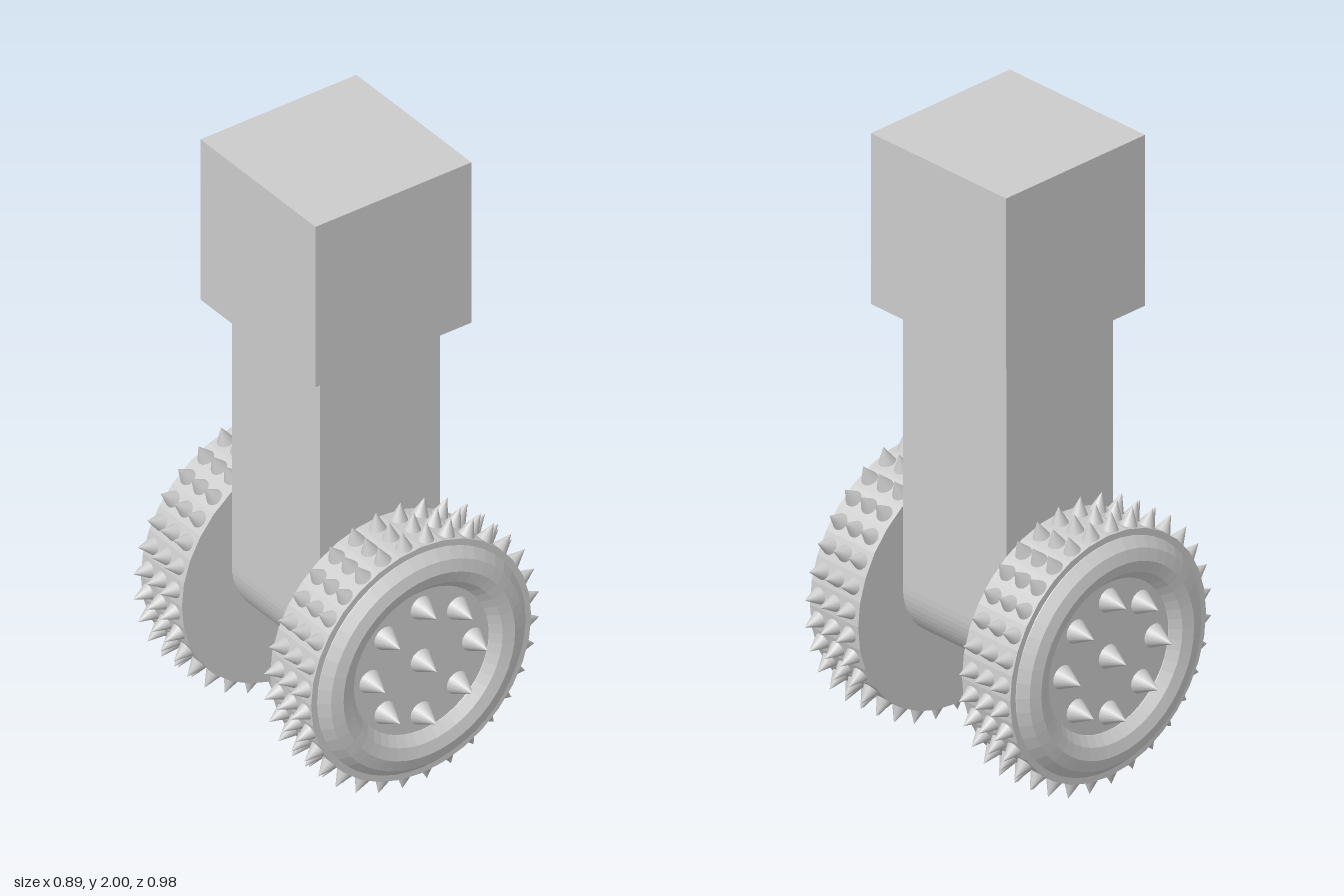
import * as THREE from 'three';

const flat = new THREE.MeshStandardMaterial({ color: 0xcccccc, flatShading: true });
const smooth = new THREE.MeshStandardMaterial({ color: 0xcccccc });

const AXLE_Y = 0.447;
const DRUM_R = 0.395;
const CAP_Z = 0.415; // outer face of the drum
const INNER_Z = 0.215; // inner face of the drum

function part(name, geometry, material = flat) {
  const mesh = new THREE.Mesh(geometry, material);
  mesh.name = name;
  return mesh;
}

// Cone with its base at the origin, pointing along +z
function spikeGeometry(radius, length) {
  return new THREE.ConeGeometry(radius, length, 16)
    .translate(0, length / 2, 0)
    .rotateX(Math.PI / 2);
}

// Wheel facing +z, already moved out from the centre
function createWheel(name) {
  const wheel = new THREE.Group();
  wheel.name = name;

  const drumDepth = CAP_Z - INNER_Z;
  const drum = part('drum', new THREE.CylinderGeometry(DRUM_R, DRUM_R, drumDepth, 32).rotateX(Math.PI / 2));
  drum.position.z = (CAP_Z + INNER_Z) / 2;
  wheel.add(drum);

  const rim = part('rim', new THREE.TorusGeometry(0.308, 0.075, 12, 48));
  rim.position.z = 0.38;
  wheel.add(rim);

  // Three rows of tread spikes
  const treadSpike = spikeGeometry(0.026, 0.056).rotateY(Math.PI / 2); // now along +x
  const count = 32;
  for (const z of [0.255, 0.319, 0.383]) {
    for (let i = 0; i < count; i++) {
      const a = ((i + 0.5) / count) * Math.PI * 2;
      const spike = part('treadSpike', treadSpike, smooth);
      const r = DRUM_R - 0.002;
      spike.position.set(Math.cos(a) * r, Math.sin(a) * r, z);
      spike.rotation.z = a;
      wheel.add(spike);
    }
  }

  // Hub spikes: one in the middle, eight around it
  const hubSpike = spikeGeometry(0.038, 0.075);
  for (let i = 0; i < 9; i++) {
    const r = i === 8 ? 0 : 0.184;
    const a = (i / 8) * Math.PI * 2;
    const spike = part('hubSpike', hubSpike, smooth);
    spike.position.set(Math.cos(a) * r, Math.sin(a) * r, CAP_Z);
    wheel.add(spike);
  }

  wheel.position.y = AXLE_Y;
  return wheel;
}

export function createModel() {
  const model = new THREE.Group();
  model.name = 'spikedWheelPost';

  // Square head block
  const head = part('head', new THREE.BoxGeometry(0.56, 0.56, 0.56));
  head.position.y = 1.72;
  model.add(head);

  // Post with a half-round foot between the wheels
  const h = 0.215;
  const profile = new THREE.Shape();
  profile.moveTo(h, 1.44);
  profile.lineTo(-h, 1.44);
  profile.lineTo(-h, 0.515);
  profile.absarc(0, 0.515, h, Math.PI, Math.PI * 2, false);
  profile.closePath();
  const post = part('post', new THREE.ExtrudeGeometry(profile, { depth: 2 * h, bevelEnabled: false, curveSegments: 16 }));
  post.position.z = -h;
  model.add(post);

  // Front and back wheels
  const front = createWheel('frontWheel');
  const back = createWheel('backWheel');
  back.rotation.y = Math.PI;
  model.add(front, back);

  return model;
}
